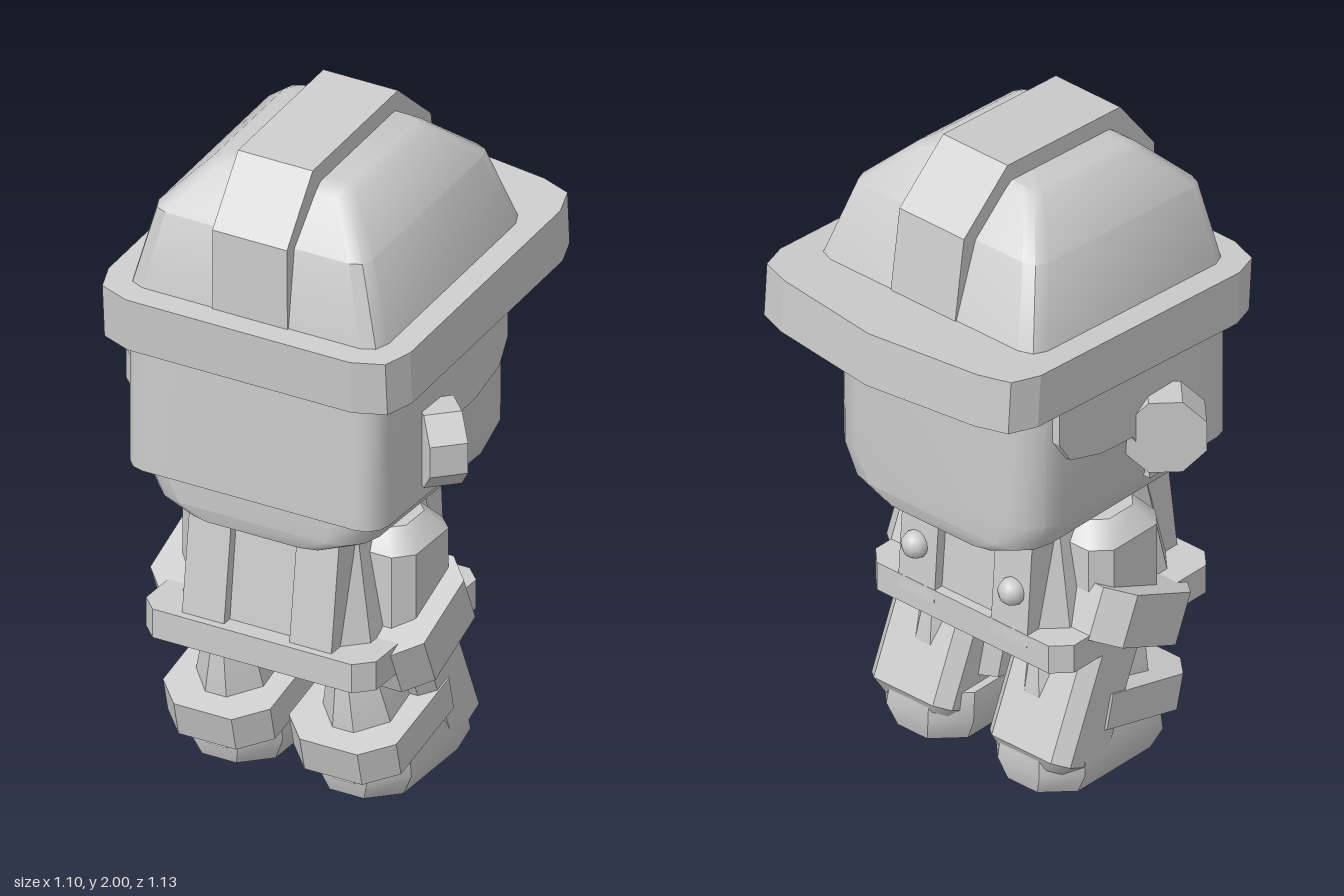
import * as THREE from 'three';
import { toCreasedNormals } from 'three/addons/utils/BufferGeometryUtils.js';

const grey = new THREE.MeshStandardMaterial({ color: 0xcccccc });
grey.name = 'plain grey';

function add(parent, name, geometry) {
  const mesh = new THREE.Mesh(geometry, grey);
  mesh.name = name;
  parent.add(mesh);
  return mesh;
}

// Stack of round-cornered rectangles: each ring is [y, x0, x1, z0, z1, corner]
function loft(rings, steps = 2, crease = 0.62) {
  const pos = [], index = [], n = 4 * (steps + 1);
  for (const [y, x0, x1, z0, z1, c] of rings) {
    const corners = [[x1 - c, z1 - c], [x0 + c, z1 - c], [x0 + c, z0 + c], [x1 - c, z0 + c]];
    corners.forEach(([cx, cz], q) => {
      for (let s = 0; s <= steps; s++) {
        const a = (q + s / steps) * Math.PI / 2;
        pos.push(cx + c * Math.cos(a), y, cz + c * Math.sin(a));
      }
    });
  }
  const last = (rings.length - 1) * n;
  for (let k = 0; k < last; k += n)
    for (let i = 0; i < n; i++) {
      const j = (i + 1) % n;
      index.push(k + i, k + n + i, k + j, k + j, k + n + i, k + n + j);
    }
  for (let i = 1; i < n - 1; i++) index.push(0, i, i + 1, last, last + i + 1, last + i);
  const g = new THREE.BufferGeometry();
  g.setAttribute('position', new THREE.Float32BufferAttribute(pos, 3));
  g.setIndex(index);
  return toCreasedNormals(g, crease);
}

function extrude(points, depth) {
  const shape = new THREE.Shape(points.map(p => new THREE.Vector2(p[0], p[1])));
  return new THREE.ExtrudeGeometry(shape, { depth, bevelEnabled: false });
}

// Side outline given as [z, y], spanning x0 to x1
function slab(points, x0, x1) {
  return extrude(points, x1 - x0).rotateY(-Math.PI / 2).translate(x1, 0, 0);
}

function buildHelmet() {
  const helmet = new THREE.Group();
  helmet.name = 'helmet';
  helmet.position.y = 1.4;
  helmet.rotation.x = 0.072;
  const half = [[0.36, 0.55], [0.455, 0.515], [0.485, 0.43], [0.485, -0.4], [0.455, -0.49], [0.36, -0.525]];
  const outline = [...half, [0, -0.575], ...half.map(([x, z]) => [-x, z]).reverse()];
  add(helmet, 'brim', extrude(outline, 0.165).rotateX(Math.PI / 2).translate(0, 0.165, 0));
  add(helmet, 'dome', loft([
    [0.14, -0.415, 0.415, -0.35, 0.48, 0.06],
    [0.4, -0.345, 0.345, -0.28, 0.425, 0.05],
    [0.515, -0.23, 0.23, -0.165, 0.3, 0.04],
    [0.535, -0.2, 0.2, -0.14, 0.27, 0.03],
  ]));
  add(helmet, 'ridge', toCreasedNormals(slab([
    [0.482, 0.14], [0.465, 0.415], [0.31, 0.59], [-0.16, 0.59], [-0.33, 0.42], [-0.35, 0.14],
  ], -0.12, 0.12), 0.5));
  return helmet;
}

function buildHead() {
  const head = new THREE.Group();
  head.name = 'head';
  add(head, 'skull', loft([
    [0.84, -0.25, 0.25, -0.295, 0.475, 0.1],
    [0.88, -0.345, 0.345, -0.3, 0.48, 0.11],
    [0.97, -0.39, 0.39, -0.3, 0.48, 0.11],
    [1.5, -0.395, 0.395, -0.3, 0.48, 0.11],
  ], 3));
  add(head, 'backHair', loft([
    [0.96, -0.41, 0.41, 0.15, 0.5, 0.07],
    [1.5, -0.41, 0.41, 0.15, 0.5, 0.07],
  ], 3));

  // Scalloped fringe over the face
  const fringe = new THREE.Shape();
  fringe.moveTo(-0.32, 1.5);
  fringe.lineTo(-0.32, 1.42);
  for (let i = 0; i < 4; i++) {
    const x = -0.32 + i * 0.16;
    fringe.quadraticCurveTo(x + 0.08, 1.34, x + 0.16, 1.42);
  }
  fringe.lineTo(0.32, 1.5);
  add(head, 'fringe', new THREE.ExtrudeGeometry(fringe, { depth: 0.1, bevelEnabled: false, curveSegments: 4 })
    .translate(0, 0, -0.32));

  for (const s of [1, -1]) {
    const x = s > 0 ? 0.34 : -0.41;
    add(head, 'sideHair', slab([
      [0.43, 0.96], [0.43, 1.5], [-0.225, 1.5], [-0.225, 1.25], [-0.18, 1.18], [-0.05, 1.14],
      [0.08, 1.13], [0.15, 1.02], [0.15, 0.96],
    ], x, x + 0.07));
    // Octagonal ear disc turned half towards the face
    const ear = add(head, 'ear', new THREE.CylinderGeometry(0.124, 0.124, 0.11, 8, 1)
      .rotateY(Math.PI / 8).rotateZ(Math.PI / 2).toNonIndexed());
    ear.geometry.computeVertexNormals();
    ear.position.set(s * 0.43, 1.12, 0.19);
    ear.rotation.y = s * Math.PI / 4;
  }
  return head;
}

function buildTorso() {
  const torso = new THREE.Group();
  torso.name = 'torso';
  add(torso, 'shirt', loft([
    [0.45, -0.315, 0.315, -0.145, 0.43, 0.08],
    [0.87, -0.235, 0.235, -0.11, 0.38, 0.07],
  ], 1));
  add(torso, 'hem', loft([
    [0.43, -0.37, 0.37, -0.17, 0.48, 0.05],
    [0.52, -0.37, 0.37, -0.17, 0.48, 0.05],
  ], 1));
  for (const s of [1, -1]) {
    const x = s > 0 ? 0.105 : -0.24;
    add(torso, 'strap', slab([
      [0.46, 0.48], [0.41, 0.86], [-0.145, 0.86], [-0.172, 0.48],
    ], x, x + 0.135));
    const button = add(torso, 'button', new THREE.SphereGeometry(0.042, 10, 8));
    button.position.set(s * 0.18, 0.64, -0.165);
  }
  return torso;
}

// Built for the +x side; x limits flip for the other
function buildLimbs(s) {
  const limbs = new THREE.Group();
  limbs.name = s > 0 ? 'leftLimbs' : 'rightLimbs';
  const side = rings => loft(rings.map(([y, a, b, ...r]) =>
    s > 0 ? [y, a, b, ...r] : [y, -b, -a, ...r]), 1);

  add(limbs, 'upperArm', side([
    [0.45, 0.16, 0.375, -0.01, 0.27, 0.05],
    [0.76, 0.16, 0.375, -0.01, 0.27, 0.05],
    [0.82, 0.16, 0.32, 0.04, 0.22, 0.04],
  ]));

  // Forearm swings towards the face side
  const forearm = new THREE.Group();
  forearm.name = 'forearm';
  forearm.position.set(0, 0.505, 0.146);
  forearm.rotation.x = 0.41;
  limbs.add(forearm);
  add(forearm, 'sleeveCuff', side([
    [-0.079, 0.1, 0.44, -0.19, 0.19, 0.07],
    [0.079, 0.1, 0.44, -0.19, 0.19, 0.07],
  ]));
  add(forearm, 'hand', side([
    [-0.5, 0.1, 0.33, -0.11, 0.05, 0.03],
    [-0.465, 0.07, 0.37, -0.145, 0.085, 0.04],
    [0, 0.07, 0.37, -0.145, 0.085, 0.04],
  ]));

  add(limbs, 'leg', side([
    [0.05, 0.09, 0.32, -0.12, 0.33, 0.08],
    [0.2, 0.09, 0.32, -0.12, 0.33, 0.08],
    [0.36, 0.12, 0.28, -0.1, 0.33, 0.06],
    [0.46, 0.14, 0.25, -0.08, 0.31, 0.04],
  ]));
  add(limbs, 'boot', side([
    [0, 0.07, 0.34, -0.15, 0.31, 0.08],
    [0.07, 0.04, 0.375, -0.17, 0.335, 0.09],
    [0.16, 0.045, 0.365, -0.16, 0.33, 0.09],
  ]));
  const cuff = add(limbs, 'bootCuff', side([
    [-0.055, 0.03, 0.375, -0.23, 0.23, 0.08],
    [0.055, 0.03, 0.375, -0.23, 0.23, 0.08],
  ]));
  cuff.position.set(0, 0.195, 0.17);
  cuff.rotation.x = 0.245;
  return limbs;
}

export function createModel() {
  const model = new THREE.Group();
  model.name = 'helmetedFigure';
  model.add(buildHelmet(), buildHead(), buildTorso(), buildLimbs(1), buildLimbs(-1));
  return model;
}
